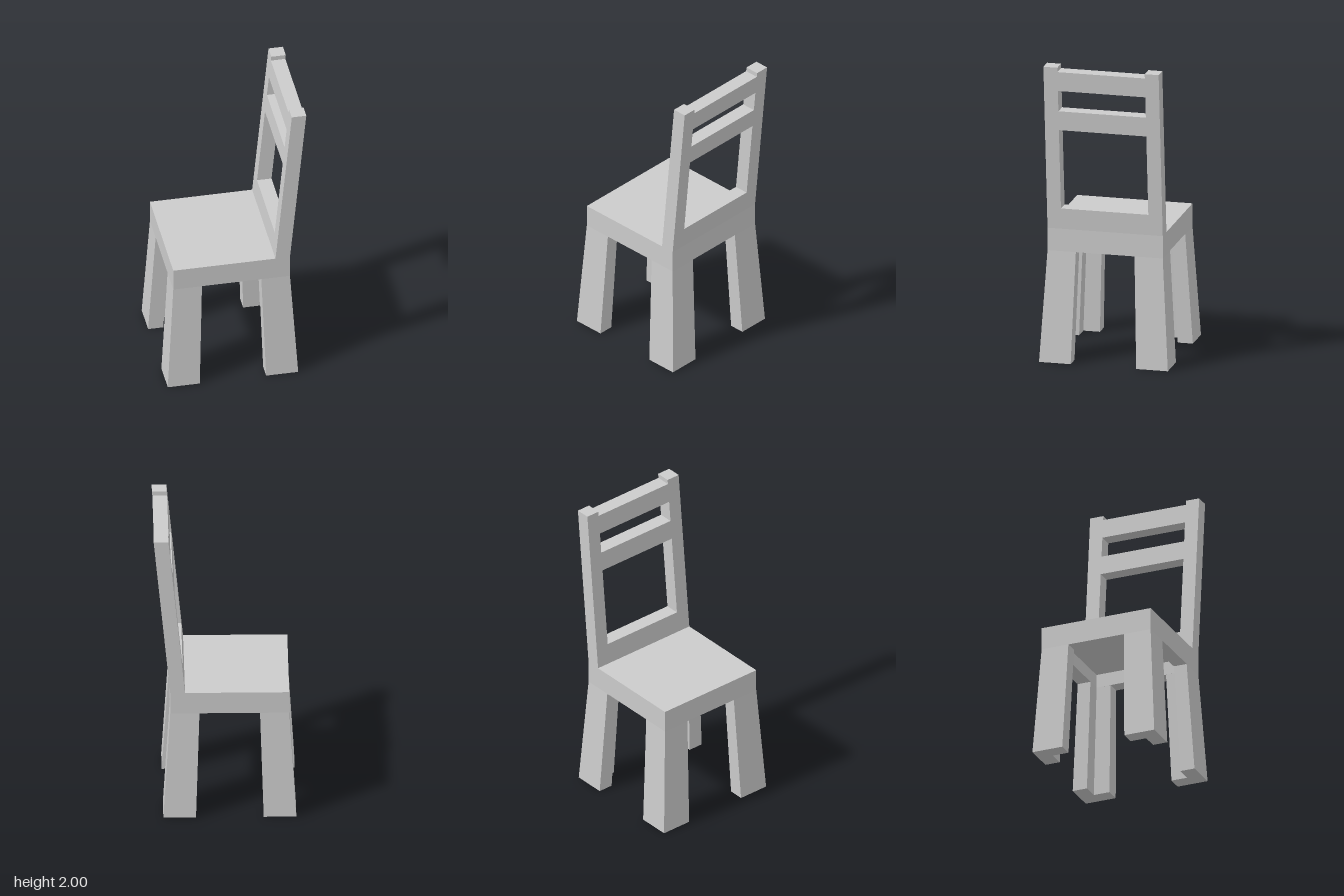
import * as THREE from 'three';

const material = new THREE.MeshStandardMaterial({ color: 0xcccccc, flatShading: true });
const HALF = 0.3825;              // half the seat width, same in x and z
const FOOT = 0.4275;              // half the stance at the floor
const SEAT_BOTTOM = 0.74, SLAB_BOTTOM = 0.83, SEAT_TOP = 0.89, TOP = 2;

const polygon = (points) => points.map(([a, b]) => new THREE.Vector2(a, b));
const rect = (a0, b0, a1, b1) => polygon([[a0, b0], [a1, b0], [a1, b1], [a0, b1]]);

function extrude(outline, holes, depth) {
  const shape = new THREE.Shape(outline);
  holes.forEach((h) => shape.holes.push(new THREE.Path(h)));
  return new THREE.ExtrudeGeometry(shape, { depth, bevelEnabled: false });
}

// Moves every vertex by a rule
function warp(geometry, rule) {
  const p = geometry.attributes.position;
  const v = new THREE.Vector3();
  for (let i = 0; i < p.count; i++) {
    rule(v.fromBufferAttribute(p, i));
    p.setXYZ(i, v.x, v.y, v.z);
  }
  geometry.computeVertexNormals();
  return geometry;
}

function part(name, geometry) {
  const mesh = new THREE.Mesh(geometry, material);
  mesh.name = name;
  return mesh;
}

// L-section leg that tapers inward towards the seat
function legGeometry(sx, sz) {
  const inner = 0.2175, web = FOOT - 0.1;
  const section = [[FOOT, FOOT], [inner, FOOT], [inner, web], [web, web], [web, inner], [FOOT, inner]];
  const outline = polygon(section.map(([x, z]) => [x * sx, -z * sz]));
  const g = extrude(outline, [], SEAT_BOTTOM).rotateX(-Math.PI / 2);
  return warp(g, (v) => {
    const s = THREE.MathUtils.lerp(1, HALF / FOOT, v.y / SEAT_BOTTOM);
    v.x *= s;
    v.z *= s;
  });
}

// Slatted back: outline and openings in one plane, then leaned backwards
function backGeometry() {
  const w = HALF, i = 0.29, railTop = 1.97, depth = 0.095;
  const outline = polygon([
    [-w, SEAT_TOP], [w, SEAT_TOP], [w, TOP], [i, TOP],
    [i, railTop], [-i, railTop], [-i, TOP], [-w, TOP],
  ]);
  const holes = [rect(-i, 1.03, i, 1.57), rect(-i, 1.7, i, 1.84)];
  const g = extrude(outline, holes, depth).rotateY(Math.PI / 2);
  return warp(g, (v) => {
    v.x += HALF - depth + 0.107 * (v.y - SEAT_TOP) / (TOP - SEAT_TOP);
  });
}

export function createModel() {
  const chair = new THREE.Group();
  chair.name = 'chair';

  // Seat board over a hollow apron
  const slab = new THREE.BoxGeometry(2 * HALF, SEAT_TOP - SLAB_BOTTOM, 2 * HALF);
  chair.add(part('seat', slab.translate(0, (SEAT_TOP + SLAB_BOTTOM) / 2, 0)));
  const inside = HALF - 0.09;
  const apron = extrude(rect(-HALF, -HALF, HALF, HALF), [rect(-inside, -inside, inside, inside)],
    SLAB_BOTTOM - SEAT_BOTTOM);
  chair.add(part('apron', apron.rotateX(-Math.PI / 2).translate(0, SEAT_BOTTOM, 0)));

  // Four splayed legs
  for (const sx of [-1, 1]) {
    for (const sz of [-1, 1]) {
      chair.add(part(sx > 0 ? 'backLeg' : 'frontLeg', legGeometry(sx, sz)));
    }
  }

  chair.add(part('backrest', backGeometry()));

  // The leaning back overhangs, so the seat sits a little off centre
  chair.position.set(-0.0325, 0, -0.0025);
  const model = new THREE.Group();
  model.add(chair);
  return model;
}
